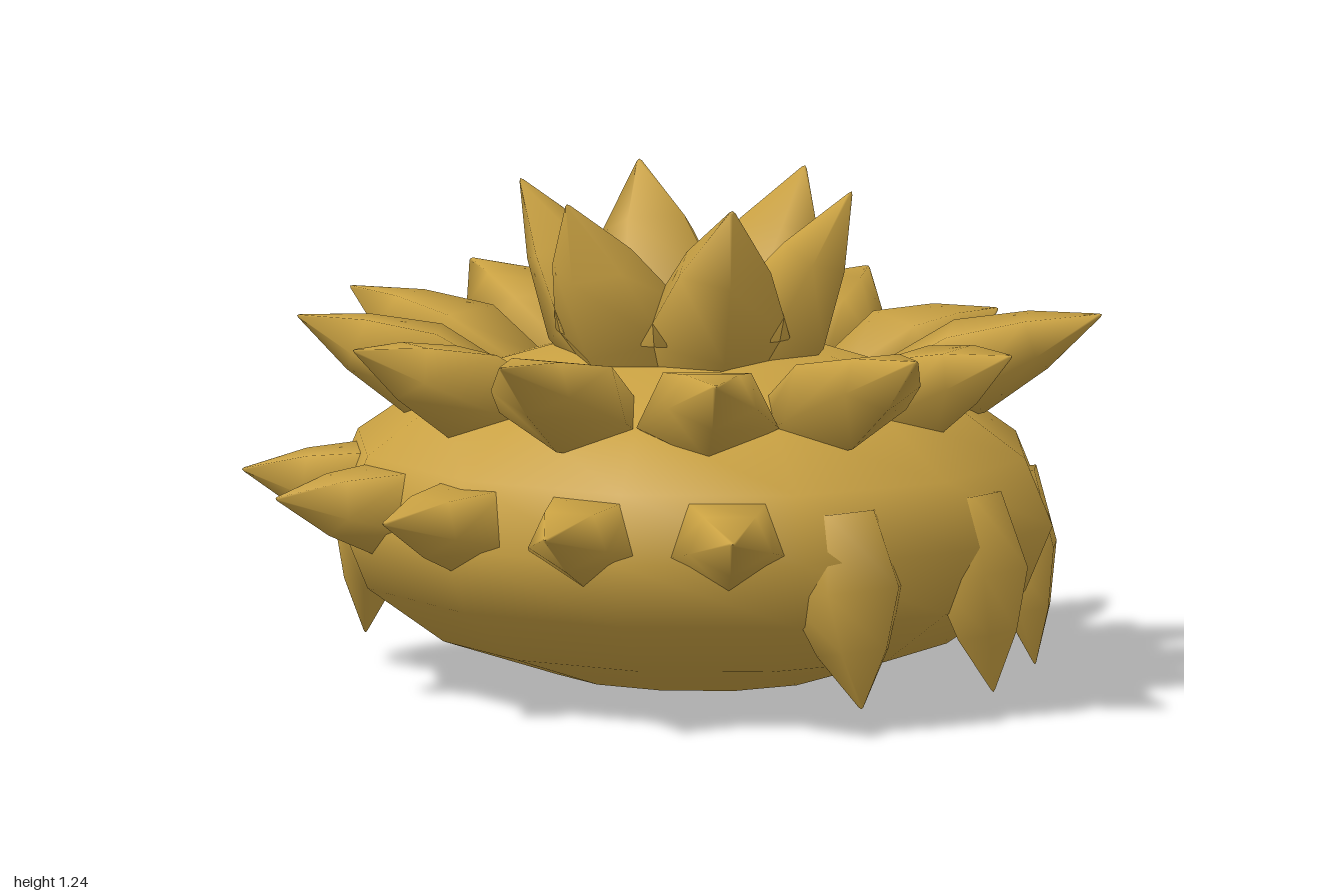
import * as THREE from 'three';

const gold = new THREE.MeshStandardMaterial({ color: 0xc9a142 });
gold.name = 'gold';

const CX = -0.02, CZ = -0.09;

// Five-sided pointed petal: unit radius, unit length along y, keel towards +z
const profile = [[0, 0], [0.65, 0], [1, 0.4], [0.62, 0.71], [0.04, 0.99], [0, 1]];
const petalGeometry = new THREE.LatheGeometry(profile.map(([r, y]) => new THREE.Vector2(r, y)), 5);

// Point at an angle from the front, on an ellipse around the body's axis
function ring(deg, rx, rz, y) {
  const a = THREE.MathUtils.degToRad(deg);
  return new THREE.Vector3(CX + rx * Math.sin(a), y, CZ + rz * Math.cos(a));
}

// Place a petal from its base to its tip, with its width along the ring
function petal(name, deg, base, tip, width, thick) {
  const a = THREE.MathUtils.degToRad(deg);
  const axis = tip.clone().sub(base);
  const length = axis.length();
  axis.normalize();
  const side = new THREE.Vector3(Math.cos(a), 0, -Math.sin(a));
  side.addScaledVector(axis, -side.dot(axis)).normalize();
  const keel = side.clone().cross(axis);
  const mesh = new THREE.Mesh(petalGeometry, gold);
  mesh.name = name;
  mesh.quaternion.setFromRotationMatrix(new THREE.Matrix4().makeBasis(side, axis, keel));
  mesh.scale.set(width, length, thick);
  mesh.position.copy(base);
  return mesh;
}

export function createModel() {
  const model = new THREE.Group();
  model.name = 'spikyShell';

  // Flattened round body
  const bodyGeometry = new THREE.SphereGeometry(1, 12, 8);
  bodyGeometry.scale(0.94, 0.43, 0.87);
  const body = new THREE.Mesh(bodyGeometry, gold);
  body.name = 'body';
  body.position.set(CX, 0.43, CZ);
  model.add(body);

  // Six upright petals in the middle
  const crown = new THREE.Group();
  crown.name = 'crown';
  for (let i = 0; i < 6; i++) {
    const d = i * 60;
    const base = ring(d, 0.1, 0.1, 0.7), tip = ring(d, 0.42, 0.42, 1.24);
    base.z += 0.02;
    tip.z += 0.02;
    crown.add(petal('crownPetal', d, base, tip, 0.2, 0.14));
  }
  model.add(crown);

  // Twelve slightly uneven petals around the top: tip angle and reach
  const collar = new THREE.Group();
  collar.name = 'collar';
  const tips = [[16.7, 1.02], [48, 0.9], [76, 1.05], [103, 0.92], [131, 1.01], [163, 0.86],
    [197, 0.95], [229, 0.91], [257, 1.0], [284, 0.97], [312, 0.97], [343, 0.95]];
  tips.forEach(([d, r], i) => {
    const at = 16 + i * 30;
    collar.add(petal('collarPetal', at, ring(at, 0.46, 0.44, 0.7),
      ring(d, r, r, 0.92 + (r - 1) * 0.4), 0.185, 0.125));
  });
  model.add(collar);

  // Five petals fanned across the front
  const frontFan = new THREE.Group();
  frontFan.name = 'frontFan';
  for (let i = -2; i <= 2; i++) {
    const d = i * 24.3;
    frontFan.add(petal('frontPetal', d, ring(d, 0.62, 0.55, 0.445), ring(d, 1.12, 1.09, 0.52), 0.175, 0.13));
  }
  model.add(frontFan);

  // Eight downward claws around the sides and back
  const claws = new THREE.Group();
  claws.name = 'claws';
  for (let i = 0; i < 8; i++) {
    const d = 69 + i * 31.7;
    claws.add(petal('claw', d, ring(d, 0.83, 0.75, 0.54), ring(d, 0.91, 0.77, 0.06), 0.165, 0.1));
  }
  model.add(claws);

  return model;
}
